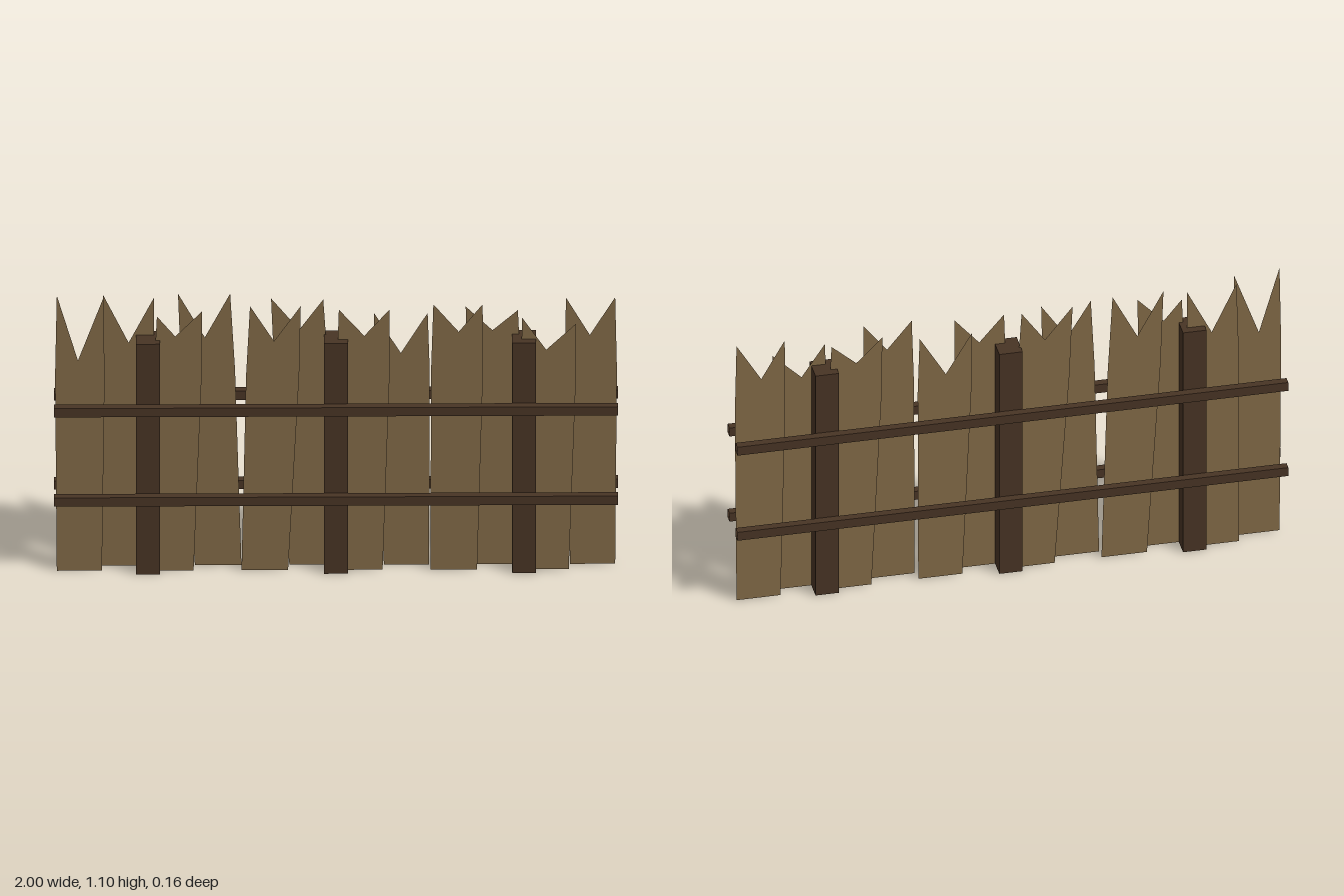
import * as THREE from 'three';

// Each plank: bottom left/right x, then left peak, notch and right peak as x, y
const PLANKS = [
  [-0.99, -0.83, -0.99, 1.10, -0.915, 0.84, -0.825, 1.09],
  [-0.835, -0.67, -0.825, 1.08, -0.735, 0.89, -0.645, 1.07],
  [-0.66, -0.505, -0.635, 1.015, -0.57, 0.935, -0.475, 1.035],
  [-0.50, -0.335, -0.56, 1.085, -0.465, 0.91, -0.375, 1.085],
  [-0.335, -0.17, -0.305, 1.055, -0.22, 0.915, -0.125, 1.055],
  [-0.165, 0, -0.23, 1.065, -0.13, 0.94, -0.045, 1.06],
  [0, 0.165, 0.01, 1.04, 0.10, 0.935, 0.19, 1.04],
  [0.17, 0.33, 0.135, 1.005, 0.23, 0.845, 0.325, 1.005],
  [0.335, 0.50, 0.345, 1.06, 0.435, 0.95, 0.52, 1.06],
  [0.50, 0.665, 0.46, 1.03, 0.555, 0.935, 0.645, 1.015],
  [0.665, 0.825, 0.66, 1.005, 0.745, 0.877, 0.85, 0.98],
  [0.83, 0.99, 0.815, 1.065, 0.90, 0.915, 0.99, 1.065],
];

// Box left open on the given faces (0 +x, 1 -x, 2 +y, 3 -y, 4 +z, 5 -z)
function openBox(w, h, d, openFaces) {
  const geo = new THREE.BoxGeometry(w, h, d);
  const index = Array.from(geo.index.array);
  geo.setIndex(index.filter((_, i) => !openFaces.includes(Math.floor(i / 6))));
  geo.clearGroups();
  return geo;
}

// Flat board with slightly bulging sides and a V-notched top
function plankGeometry([bl, br, lx, ly, vx, vy, rx, ry]) {
  const shoulder = 0.78, bulge = 0.006;
  const shape = new THREE.Shape();
  shape.moveTo(bl, 0);
  shape.lineTo(br, 0);
  shape.lineTo(THREE.MathUtils.lerp(br, rx, shoulder / ry) + bulge, shoulder);
  shape.lineTo(rx, ry);
  shape.lineTo(vx, vy);
  shape.lineTo(lx, ly);
  shape.lineTo(THREE.MathUtils.lerp(bl, lx, shoulder / ly) - bulge, shoulder);
  shape.closePath();
  return new THREE.ShapeGeometry(shape);
}

export function createModel() {
  const fence = new THREE.Group();
  fence.name = 'fence';

  const plankWood = new THREE.MeshStandardMaterial({ color: 0x826a47, side: THREE.DoubleSide });
  plankWood.name = 'plank wood';
  const darkWood = new THREE.MeshStandardMaterial({ color: 0x483424, side: THREE.DoubleSide });
  darkWood.name = 'dark wood';

  const add = (name, geo, mat, x, y, z) => {
    const mesh = new THREE.Mesh(geo, mat);
    mesh.name = name;
    mesh.position.set(x, y, z);
    fence.add(mesh);
  };

  // Planks, alternating between a front and a back layer
  PLANKS.forEach((p, i) => add('plank', plankGeometry(p), plankWood, 0, 0, i % 2 ? -0.02 : 0.02));

  // Posts, open underneath
  const postGeo = openBox(0.085, 0.92, 0.1, [3]);
  for (const x of [-0.667, 0, 0.667]) add('post', postGeo, darkWood, x, 0.46, 0);

  // Rails on both sides, open at the ends
  const railGeo = openBox(2, 0.035, 0.03, [0, 1]);
  for (const z of [-0.065, 0.065])
    for (const y of [0.305, 0.662]) add('rail', railGeo, darkWood, 0, y, z);

  return fence;
}
